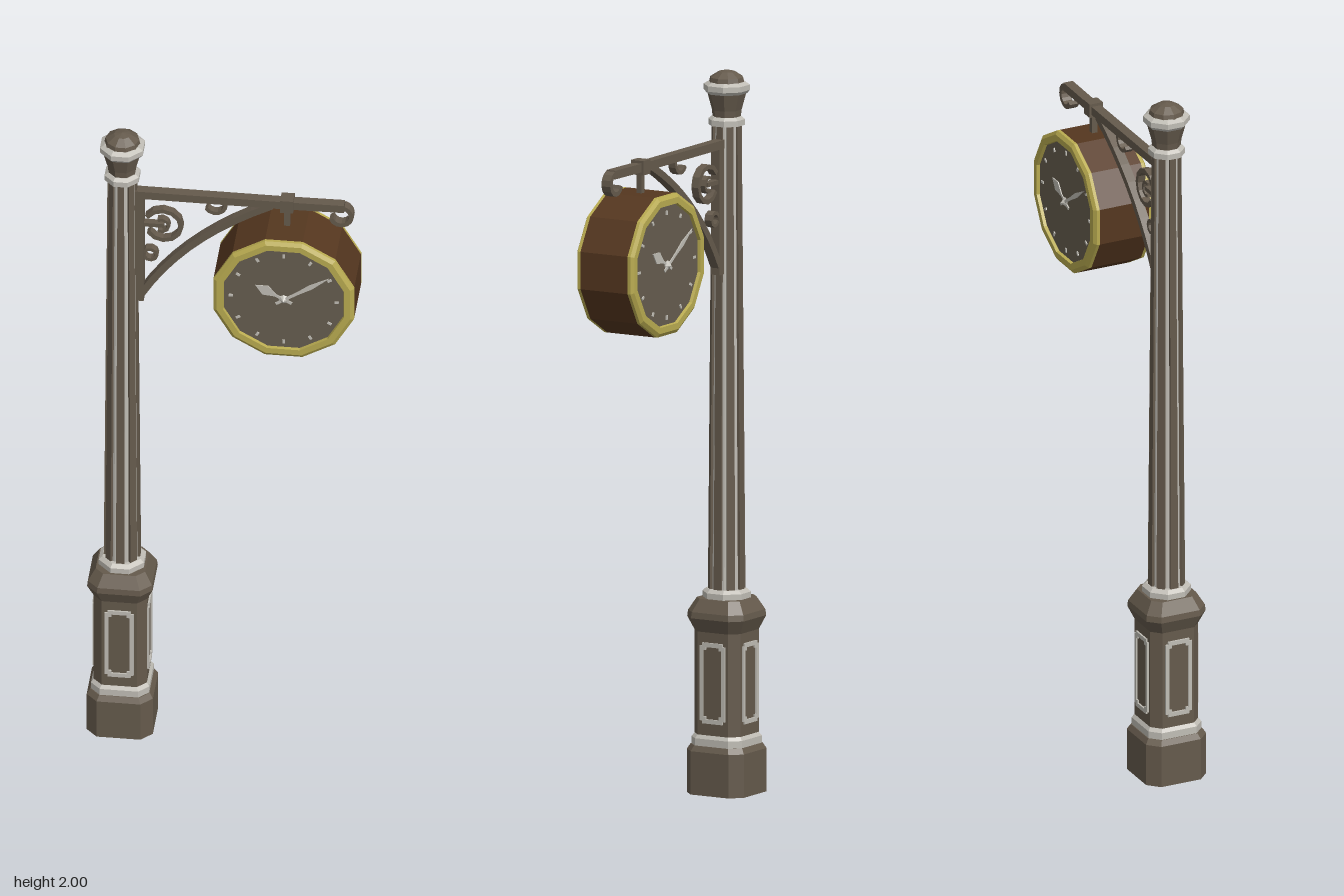
import * as THREE from 'three';

const mat = (name, color) => new THREE.MeshStandardMaterial({ name, color });

export function createModel() {
  const iron = mat('bronzed iron', 0x655a4c);
  const trim = mat('pale trim', 0xc0bdb5);
  const gold = mat('gold rim', 0xb9ab50);
  const wood = mat('brown casing', 0x55371f);
  const dial = mat('dial', 0x665d4f);
  const model = new THREE.Group();
  model.name = 'streetClock';

  const flat = (g) => {
    const f = g.index ? g.toNonIndexed() : g;
    f.computeVertexNormals();
    return f;
  };
  const add = (parent, name, geo, material, x = 0, y = 0, z = 0) => {
    const m = new THREE.Mesh(flat(geo), material);
    m.name = name;
    m.position.set(x, y, z);
    parent.add(m);
    return m;
  };
  // faceted turning; profile holds [distance to flat side, height]
  const turned = (profile, sides) => new THREE.LatheGeometry(
    profile.map(([r, y]) => new THREE.Vector2(r / Math.cos(Math.PI / sides), y)), sides, Math.PI / sides);
  // square column with cut corners; k = half flat length / half width
  const column = (profile, k) => {
    const g = turned(profile, 8), p = g.attributes.position, s = k / Math.tan(Math.PI / 8);
    for (let i = 0; i < p.count; i++) {
      const x = p.getX(i), z = p.getZ(i);
      if (Math.abs(x) < Math.abs(z)) p.setX(i, x * s); else p.setZ(i, z * s);
    }
    return g;
  };
  const extrude = (shape, depth) => new THREE.ExtrudeGeometry(shape, { depth, bevelEnabled: false, curveSegments: 8 })
    .translate(0, 0, -depth / 2);
  // flat bar of constant width following a 2D path
  const ribbon = (pts, width, depth) => {
    const a = [], b = [];
    pts.forEach((p, i) => {
      const q = pts[Math.max(i - 1, 0)], r = pts[Math.min(i + 1, pts.length - 1)];
      const dx = r[0] - q[0], dy = r[1] - q[1], l = Math.hypot(dx, dy) / (width / 2);
      a.push(new THREE.Vector2(p[0] - dy / l, p[1] + dx / l));
      b.unshift(new THREE.Vector2(p[0] + dy / l, p[1] - dx / l));
    });
    return extrude(new THREE.Shape([...a, ...b]), depth);
  };
  const spiral = (cx, cy, r0, r1, from, to, n) => Array.from({ length: n + 1 }, (_, i) => {
    const t = i / n, r = r0 + (r1 - r0) * t, w = THREE.MathUtils.degToRad(from + (to - from) * t);
    return [cx + r * Math.cos(w), cy + r * Math.sin(w)];
  });

  // Post
  const post = new THREE.Group();
  post.name = 'post';
  post.position.x = -0.28;
  model.add(post);
  add(post, 'plinth', column([[0, 0], [0.091, 0], [0.091, 0.12], [0.082, 0.135], [0, 0.135]], 0.66), iron);
  add(post, 'plinthBand', column([[0, 0.135], [0.08, 0.135], [0.08, 0.155], [0.073, 0.165], [0, 0.165]], 0.66), trim);
  add(post, 'pedestal', column([[0, 0.16], [0.073, 0.16], [0.073, 0.45], [0.09, 0.488], [0.088, 0.505],
    [0.068, 0.54], [0, 0.54]], 0.66), iron);
  add(post, 'pedestalBand', turned([[0, 0.538], [0.062, 0.538], [0.062, 0.556], [0.052, 0.565], [0, 0.565]], 8), trim);

  // Framed panels with notched corners on the four pedestal sides
  const panel = (w, h, n) => [[-w + n, -h], [w - n, -h], [w - n, -h + n], [w, -h + n], [w, h - n], [w - n, h - n],
    [w - n, h], [-w + n, h], [-w + n, h - n], [-w, h - n], [-w, -h + n], [-w + n, -h + n]]
    .map(([x, y]) => new THREE.Vector2(x, y));
  const frame = new THREE.Shape(panel(0.04, 0.112, 0.008));
  frame.holes.push(new THREE.Path(panel(0.029, 0.1, 0.008)));
  for (let i = 0; i < 4; i++) {
    const side = new THREE.Group();
    side.name = 'pedestalPanel';
    side.rotation.y = i * Math.PI / 2;
    post.add(side);
    add(side, 'panelFrame', extrude(frame, 0.008), trim, 0, 0.31, 0.074);
  }

  // Fluted shaft: pale core showing between tapering ribs
  add(post, 'shaftCore', new THREE.CylinderGeometry(0.036, 0.045, 1.3, 16), trim, 0, 1.205);
  for (let i = 0; i < 8; i++) {
    const g = new THREE.BoxGeometry(0.021, 1.3, 0.016), p = g.attributes.position;
    for (let j = 0; j < p.count; j++) {
      const top = p.getY(j) > 0;
      p.setX(j, p.getX(j) * (top ? 0.85 : 1.1));
      p.setZ(j, p.getZ(j) + (top ? 0.032 : 0.042));
    }
    add(post, 'shaftRib', g.rotateY(i * Math.PI / 4), iron, 0, 1.205);
  }

  // Capital and finial
  add(post, 'capitalBand', turned([[0, 1.848], [0.047, 1.848], [0.047, 1.864], [0.038, 1.872], [0, 1.872]], 8), trim);
  add(post, 'capital', turned([[0, 1.87], [0.036, 1.87], [0.038, 1.89], [0.05, 1.938], [0, 1.938]], 8), iron);
  add(post, 'finialBand', turned([[0, 1.936], [0.052, 1.936], [0.059, 1.945], [0.059, 1.96], [0.047, 1.968], [0, 1.968]], 8), trim);
  add(post, 'finialCap', turned([[0.047, 1.966], [0.044, 1.98], [0.022, 1.995], [0, 2]], 10), iron);

  // Bracket
  const bracket = new THREE.Group();
  bracket.name = 'bracket';
  model.add(bracket);
  add(bracket, 'arm', ribbon([[-0.245, 1.8], [0.15, 1.8], [0.33, 1.802]], 0.024, 0.028), iron);
  add(bracket, 'armHook', ribbon(spiral(0.32, 1.775, 0.032, 0.026, 75, -160, 9), 0.013, 0.028), iron);
  add(bracket, 'wallBar', ribbon([[-0.231, 1.44], [-0.231, 1.81]], 0.022, 0.028), iron);
  const brace = new THREE.QuadraticBezierCurve(
    new THREE.Vector2(-0.225, 1.465), new THREE.Vector2(-0.11, 1.67), new THREE.Vector2(0.13, 1.793));
  add(bracket, 'brace', ribbon(brace.getPoints(9).map((p) => [p.x, p.y]), 0.02, 0.026), iron);
  add(bracket, 'largeScroll', ribbon(spiral(-0.167, 1.698, 0.052, 0.046, 150, -150, 10), 0.013, 0.022), iron);
  add(bracket, 'scrollTongue', ribbon([[-0.225, 1.698], [-0.165, 1.698]], 0.012, 0.02), iron);
  add(bracket, 'scrollCurl', ribbon(spiral(-0.172, 1.698, 0.02, 0.02, 120, -120, 6), 0.009, 0.02), iron);
  add(bracket, 'smallScroll', ribbon(spiral(-0.203, 1.597, 0.019, 0.017, 160, -160, 8), 0.01, 0.022), iron);
  add(bracket, 'upperScroll', ribbon(spiral(-0.025, 1.782, 0.03, 0.026, 10, -150, 6), 0.011, 0.022), iron);
  add(bracket, 'hangerClamp', new THREE.BoxGeometry(0.036, 0.04, 0.04), iron, 0.173, 1.8);
  add(bracket, 'hangerRod', new THREE.BoxGeometry(0.016, 0.09, 0.016), iron, 0.173, 1.76);

  // Two-faced clock
  const clock = new THREE.Group();
  clock.name = 'clock';
  clock.position.set(0.173, 1.535, 0);
  model.add(clock);
  add(clock, 'casing', turned([[0.193, -0.075], [0.193, 0.075]], 12).rotateX(Math.PI / 2), wood);

  // hand outline pointing up, with a short tail
  const hand = (len, w, wide) => extrude(new THREE.Shape([[-0.004, -0.025], [0.004, -0.025], [0.004, len * 0.3],
    [w, len * wide], [0, len], [-w, len * wide], [-0.004, len * 0.3]].map(([x, y]) => new THREE.Vector2(x, y))), 0.003);
  for (let i = 0; i < 2; i++) {
    const face = new THREE.Group();
    face.name = i ? 'backFace' : 'frontFace';
    face.rotation.y = i * Math.PI;
    clock.add(face);
    add(face, 'rim', turned([[0.193, 0.075], [0.193, 0.084], [0.183, 0.091], [0.166, 0.091], [0.164, 0.08]], 12)
      .rotateX(Math.PI / 2), gold);
    add(face, 'dial', new THREE.CircleGeometry(0.172, 12, Math.PI / 12), dial, 0, 0, 0.082);
    for (let h = 0; h < 12; h++) {
      const a = h * Math.PI / 6;
      add(face, 'hourMark', new THREE.BoxGeometry(0.007, 0.012, 0.004).rotateZ(-a), trim,
        0.145 * Math.sin(a), 0.145 * Math.cos(a), 0.083);
    }
    add(face, 'hourHand', hand(0.088, 0.017, 0.65), trim, 0, 0, 0.086).rotation.z = 1.07;
    add(face, 'minuteHand', hand(0.15, 0.007, 0.6), trim, 0, 0, 0.089).rotation.z = -0.98;
    add(face, 'hub', new THREE.ConeGeometry(0.014, 0.014, 8).rotateX(Math.PI / 2), trim, 0, 0, 0.092);
  }
  return model;
}
